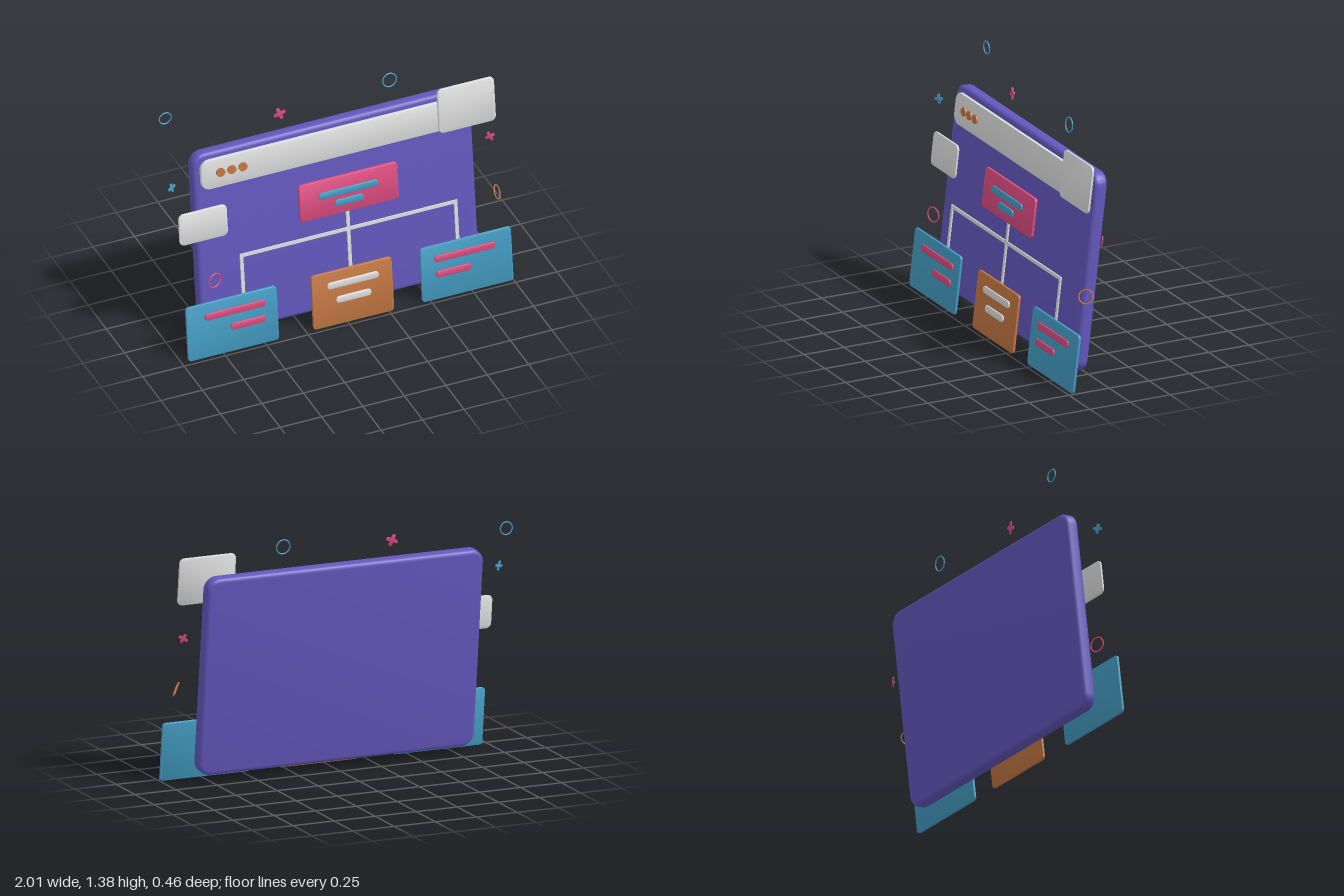
import * as THREE from 'three';
import { toCreasedNormals } from 'three/addons/utils/BufferGeometryUtils.js';

const TILT = -0.118; // everything leans back by this angle

function material(name, color) {
  const m = new THREE.MeshStandardMaterial({ color });
  m.name = name;
  return m;
}

// Rounded rectangle plate with soft edges, centred on its origin
function plateGeometry(w, h, d, r, bevel) {
  const x = w / 2, y = h / 2, q = Math.PI / 2;
  const s = new THREE.Shape();
  s.absarc(x - r, y - r, r, 0, q);
  s.absarc(-x + r, y - r, r, q, 2 * q);
  s.absarc(-x + r, -y + r, r, 2 * q, 3 * q);
  s.absarc(x - r, -y + r, r, 3 * q, 4 * q);
  const g = new THREE.ExtrudeGeometry(s, {
    depth: d - 2 * bevel, bevelThickness: bevel, bevelSize: bevel,
    bevelOffset: -bevel, bevelSegments: 4, curveSegments: 8,
  });
  g.translate(0, 0, bevel - d / 2);
  return toCreasedNormals(g, 0.6);
}

export function createModel() {
  const purple = material('purple', 0x6357bd);
  const grey = material('light grey', 0xdedede);
  const blue = material('blue', 0x449dc4);
  const pink = material('pink', 0xde4c80);
  const orange = material('orange', 0xc47742);

  const model = new THREE.Group();
  model.name = 'siteMapWindow';

  function add(name, geometry, mat, x, y, z, tilt = TILT) {
    const mesh = new THREE.Mesh(geometry, mat);
    mesh.name = name;
    mesh.position.set(x, y, z);
    mesh.rotation.x = tilt;
    model.add(mesh);
    return mesh;
  }

  // Leaning plate from its extents in x and y
  function plate(name, mat, [x0, x1], [y0, y1], z, d, r, bevel = 0.003) {
    const h = (y1 - y0 - d * Math.sin(-TILT)) / Math.cos(TILT);
    const g = plateGeometry(x1 - x0, h, d, Math.min(r, h / 2 - 0.0005), bevel);
    return add(name, g, mat, (x0 + x1) / 2, (y0 + y1) / 2, z);
  }

  // Window body and title bar
  plate('windowPanel', purple, [-0.84, 0.84], [0.043, 1.203], 0.023, 0.08, 0.075, 0.022);
  plate('titleBar', grey, [-0.8, 0.8], [0.983, 1.168], 0.016, 0.022, 0.055, 0.006);
  for (const x of [-0.683, -0.616, -0.549]) {
    const dot = new THREE.CylinderGeometry(0.026, 0.026, 0.01, 24).rotateX(Math.PI / 2);
    add('windowButton', dot, orange, x, 1.08, 0.031);
  }

  // Floating blank cards
  plate('upperBlankCard', grey, [0.604, 0.947], [1.02, 1.295], 0.084, 0.014, 0.03);
  plate('sideBlankCard', grey, [-0.957, -0.666], [0.695, 0.89], 0.08, 0.012, 0.03);

  // Diagram cards
  plate('topCard', pink, [-0.252, 0.344], [0.686, 0.918], 0.124, 0.016, 0.02);
  plate('leftCard', blue, [-0.963, -0.415], [0, 0.338], 0.2, 0.015, 0.02);
  plate('middleCard', orange, [-0.207, 0.28], [0, 0.338], 0.2, 0.015, 0.02);
  plate('rightCard', blue, [0.45, 1.0], [0, 0.338], 0.2, 0.015, 0.02);

  // Text bars on the cards
  const bars = [
    [blue, -0.14, 0.222, 0.828, 0.138], [blue, -0.046, 0.13, 0.762, 0.146],
    [pink, -0.855, -0.485, 0.256, 0.203], [pink, -0.705, -0.49, 0.16, 0.215],
    [grey, -0.115, 0.195, 0.256, 0.203], [grey, -0.067, 0.145, 0.16, 0.215],
    [pink, 0.53, 0.9, 0.256, 0.203], [pink, 0.535, 0.75, 0.16, 0.215],
  ];
  for (const [mat, x0, x1, y, z] of bars) {
    plate('textBar', mat, [x0, x1], [y - 0.021, y + 0.021], z, 0.01, 0.02);
  }

  // Connector lines between the cards
  const lineZ = (y) => 0.148 - (y - 0.5) * 0.119;
  function line(x0, x1, y0, y1) {
    const y = (y0 + y1) / 2;
    const g = new THREE.BoxGeometry(x1 - x0, y1 - y0, 0.008);
    add('connector', g, grey, (x0 + x1) / 2, y, lineZ(y));
  }
  line(-0.616, 0.696, 0.556, 0.576);
  line(0.03, 0.05, 0.576, 0.73);
  for (const x of [-0.606, 0.04, 0.686]) line(x - 0.01, x + 0.01, 0.275, 0.556);

  // Floating rings, each turned towards its own direction
  const rings = [
    [blue, -0.905, 1.341, -0.227, 0.036, [0, 0, 1]],
    [blue, 0.381, 1.336, -0.072, 0.041, [0, 0.12, 1]],
    [pink, -0.78, 0.466, 0.17, 0.042, [0.31, 0.05, 0.95]],
    [orange, 0.947, 0.541, 0.117, 0.04, [0.76, 0.37, 0.55]],
  ];
  for (const [mat, x, y, z, r, n] of rings) {
    const ring = add('floatingRing', new THREE.TorusGeometry(r, 0.004, 8, 40), mat, x, y, z);
    const normal = new THREE.Vector3(...n).normalize();
    ring.quaternion.setFromUnitVectors(new THREE.Vector3(0, 0, 1), normal);
  }

  // Floating crosses made of two crossed pills
  const crosses = [
    [pink, -0.285, 1.302, -0.065, 0.072, -0.15, 0.35],
    [blue, -0.979, 1.06, 0.032, 0.058, 0.4, 0.25],
    [pink, 0.949, 0.853, 0.016, 0.058, -0.45, 0.45],
  ];
  for (const [mat, x, y, z, size, turn, roll] of crosses) {
    const cross = new THREE.Group();
    cross.name = 'floatingCross';
    const arm = plateGeometry(size, size * 0.29, 0.006, size * 0.14, 0.001);
    for (const angle of [0, Math.PI / 2]) {
      const mesh = new THREE.Mesh(arm, mat);
      mesh.name = 'crossArm';
      mesh.rotation.z = angle;
      cross.add(mesh);
    }
    cross.position.set(x, y, z);
    cross.rotation.set(TILT, turn, roll);
    model.add(cross);
  }

  return model;
}
